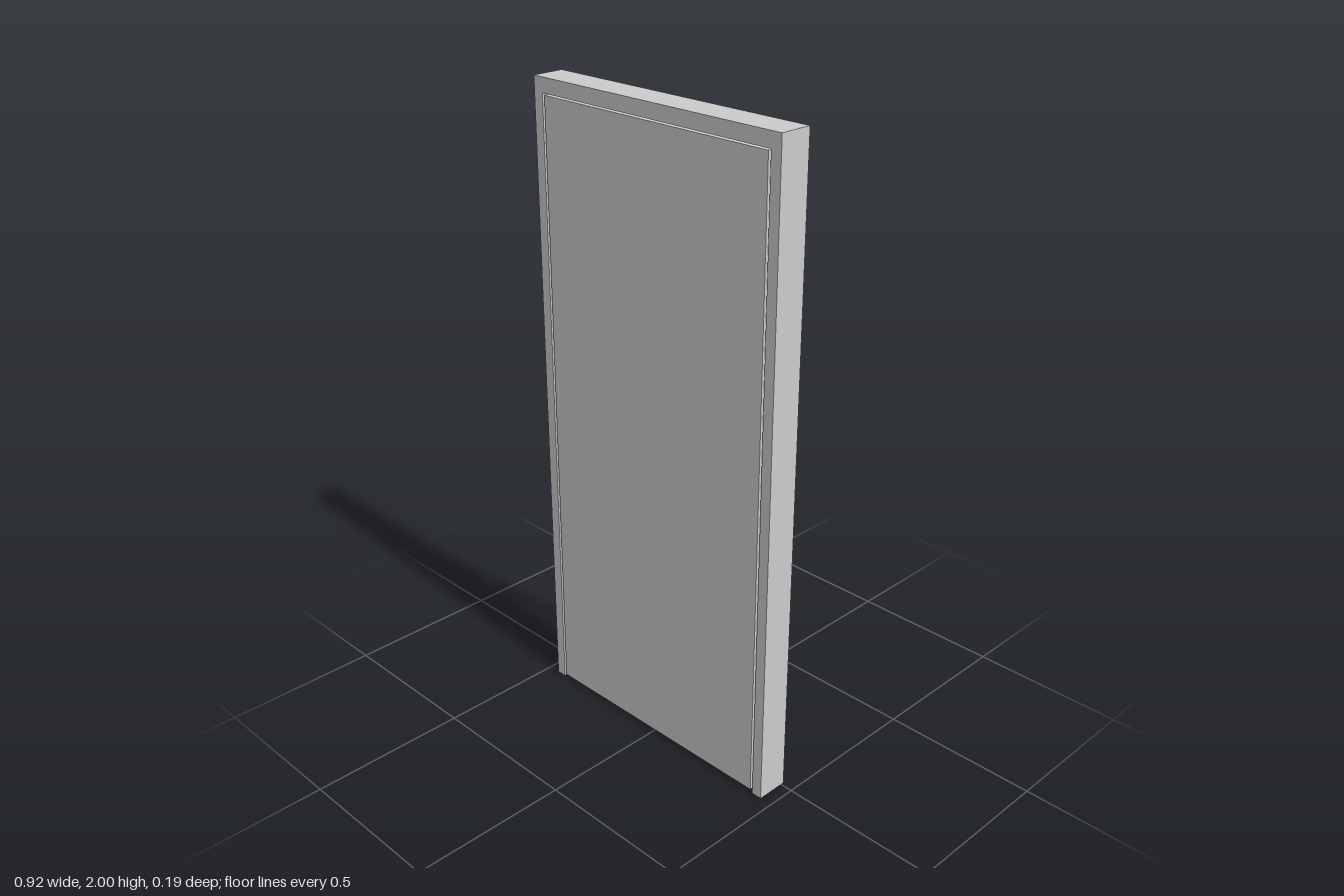
import * as THREE from 'three';

export function createModel() {
  const model = new THREE.Group();
  const material = new THREE.MeshStandardMaterial({ color: 0xcccccc });
  const add = (name, geometry) => {
    const mesh = new THREE.Mesh(geometry, material);
    mesh.name = name;
    model.add(mesh);
    return mesh;
  };
  // Round rod between two points
  const rod = (name, a, b, radius) => {
    const mesh = add(name, new THREE.CylinderGeometry(radius, radius, a.distanceTo(b), 24));
    mesh.position.copy(a).add(b).multiplyScalar(0.5);
    mesh.quaternion.setFromUnitVectors(new THREE.Vector3(0, 1, 0), b.clone().sub(a).normalize());
    return mesh;
  };
  const v = (x, y, z) => new THREE.Vector3(x, y, z);

  const back = -0.01, front = 0.092, depth = front - back;

  // Door frame: two posts and a header in one outline
  const outline = new THREE.Shape([
    [-0.46, 0], [-0.426, 0], [-0.426, 1.955], [0.426, 1.955],
    [0.426, 0], [0.46, 0], [0.46, 2], [-0.46, 2],
  ].map(([x, y]) => new THREE.Vector2(x, y)));
  add('doorFrame', new THREE.ExtrudeGeometry(outline, { depth, bevelEnabled: false }))
    .position.z = back;

  // Door leaf, with a narrow gap all round
  add('doorLeaf', new THREE.BoxGeometry(0.836, 1.94, depth))
    .position.set(0, 0.98, (front + back) / 2);

  // Push bar on the back
  const barY = 0.94, barZ = -0.08, pivotY = 0.99, pivotZ = -0.027;
  rod('pushBar', v(-0.282, barY, barZ), v(0.282, barY, barZ), 0.0135);

  // Housing profile: circular segment, drawn with x as distance from the door
  const half = 0.09, bulge = 0.057;
  const radius = (half * half + bulge * bulge) / (2 * bulge);
  const angle = Math.asin(half / radius);
  const segment = new THREE.Shape();
  segment.absarc(bulge - radius, 0, radius, -angle, angle, false);
  segment.closePath();
  const housing = new THREE.ExtrudeGeometry(segment, {
    depth: 0.05, bevelEnabled: false, curveSegments: 32,
  });
  housing.translate(0, 0, -0.025);
  housing.rotateY(Math.PI / 2);

  // Housing, pivot pin and arm at each end
  for (const [side, s] of [['left', 1], ['right', -1]]) {
    add(side + 'Housing', housing).position.set(s * 0.317, 1.013, back);
    rod(side + 'PivotPin', v(s * 0.25, pivotY, pivotZ), v(s * 0.3, pivotY, pivotZ), 0.005);
    rod(side + 'Arm', v(s * 0.257, pivotY, pivotZ), v(s * 0.257, barY, barZ), 0.012);
  }
  return model;
}
